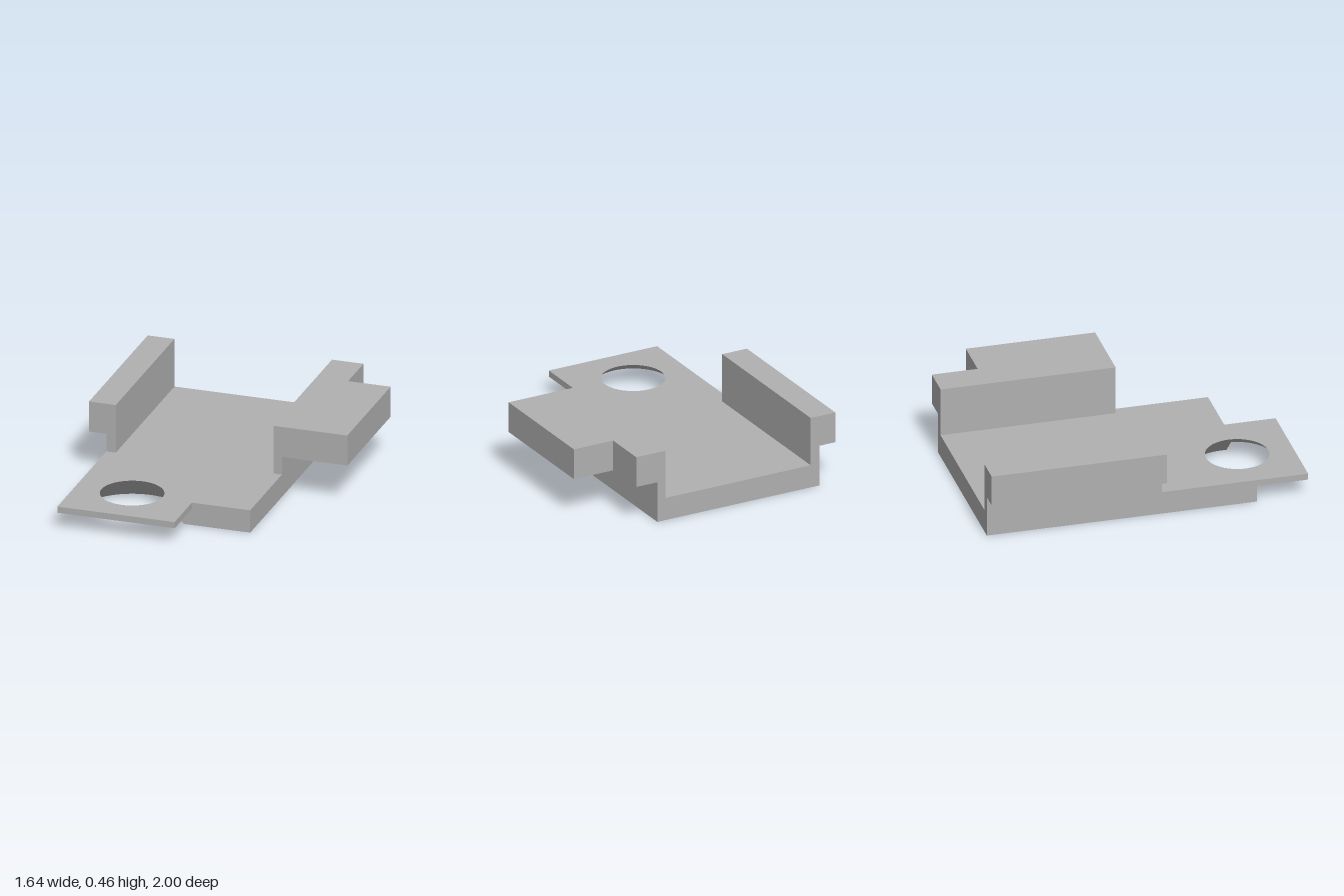
import * as THREE from 'three';
import { toCreasedNormals } from 'three/addons/utils/BufferGeometryUtils.js';

const LEFT = -0.71, RIGHT = 0.405, BACK = -1, STEP = 0.68, FRONT = 1;
const LEDGE = 0.105, TOP = 0.145, FLANGE = 0.26, RAIL = 0.455, RAIL_END = 0.09;
const HOLE = { x: -0.353, z: 0.655, bottom: 0.338, top: 0.194 };

const holeRadius = (y) => THREE.MathUtils.lerp(HOLE.bottom, HOLE.top, y / TOP);

// Points on the countersink at height y, between two angles
function arc(y, from, to, n) {
  const r = holeRadius(y);
  return Array.from({ length: n + 1 }, (_, i) => {
    const a = from + (to - from) * i / n;
    return new THREE.Vector2(HOLE.x + r * Math.cos(a), HOLE.z + r * Math.sin(a));
  });
}

const points = (list) => list.map(([x, z]) => new THREE.Vector2(x, z));

// Solid between two heights; sections(y) gives the x,z outline and its holes
function loft(y0, y1, sections, capTop) {
  const pos = [];
  const low = sections(y0), high = sections(y1);
  const put = (p, y) => pos.push(p.x, y, p.y);
  low.forEach((loop, k) => loop.forEach((p, i) => {
    const j = (i + 1) % loop.length;
    const q = loop[j], P = high[k][i], Q = high[k][j];
    put(p, y0); put(P, y1); put(Q, y1);
    put(p, y0); put(Q, y1); put(q, y0);
  }));
  const cap = (loops, y, up) => {
    const all = loops.flat();
    for (const t of THREE.ShapeUtils.triangulateShape(loops[0].slice(), loops.slice(1).map((h) => h.slice()))) {
      const [a, b, c] = t.map((i) => all[i]);
      const facesUp = (b.x - a.x) * (c.y - a.y) - (b.y - a.y) * (c.x - a.x) < 0;
      for (const p of facesUp === up ? [a, b, c] : [a, c, b]) put(p, y);
    }
  };
  cap(low, y0, false);
  if (capTop) cap(high, y1, true);
  const geo = new THREE.BufferGeometry();
  geo.setAttribute('position', new THREE.Float32BufferAttribute(pos, 3));
  return toCreasedNormals(geo, 0.5);
}

export function createModel() {
  const group = new THREE.Group();
  const grey = new THREE.MeshStandardMaterial({ color: 0xb0b0b0 });
  grey.name = 'grey';
  const add = (name, geo) => {
    const mesh = new THREE.Mesh(geo, grey);
    mesh.name = name;
    group.add(mesh);
  };

  // Top layer of the base: runs on as a tongue pierced by the tapered hole
  add('basePlateWithTongue', loft(LEDGE, TOP, (y) => [
    points([[LEFT, BACK], [RIGHT, BACK], [RIGHT, STEP], [0.035, STEP], [0.035, FRONT], [LEFT, FRONT]]),
    arc(y, 0, -2 * Math.PI, 96).slice(0, -1),
  ], true));

  // Bottom layer of the base: the taper breaks through its front face
  add('baseUnderside', loft(0, LEDGE, (y) => {
    const a = Math.asin((STEP - HOLE.z) / holeRadius(y));
    return [[
      ...points([[LEFT, BACK], [RIGHT, BACK], [RIGHT, STEP]]),
      ...arc(y, a, -Math.PI - a, 56),
      ...points([[LEFT, STEP]]),
    ]];
  }, false));

  // Upright webs
  const web = (name, x0, x1) => add(name, new THREE.BoxGeometry(x1 - x0, FLANGE - TOP, RAIL_END - BACK)
    .translate((x0 + x1) / 2, (TOP + FLANGE) / 2, (BACK + RAIL_END) / 2));
  web('rightWeb', LEFT, -0.65);
  web('leftWeb', 0.35, RIGHT);

  // Overhanging rails, extruded from their plan outline
  const rail = (name, outline) => add(name,
    new THREE.ExtrudeGeometry(new THREE.Shape(points(outline)), { depth: RAIL - FLANGE, bevelEnabled: false })
      .rotateX(Math.PI / 2).translate(0, RAIL, 0));
  rail('rightRail', [[-0.82, BACK], [-0.65, BACK], [-0.65, RAIL_END], [-0.82, RAIL_END]]);
  rail('leftRail', [[0.35, BACK], [0.55, BACK], [0.55, -0.715], [0.82, -0.715], [0.82, RAIL_END], [0.35, RAIL_END]]);

  return group;
}
